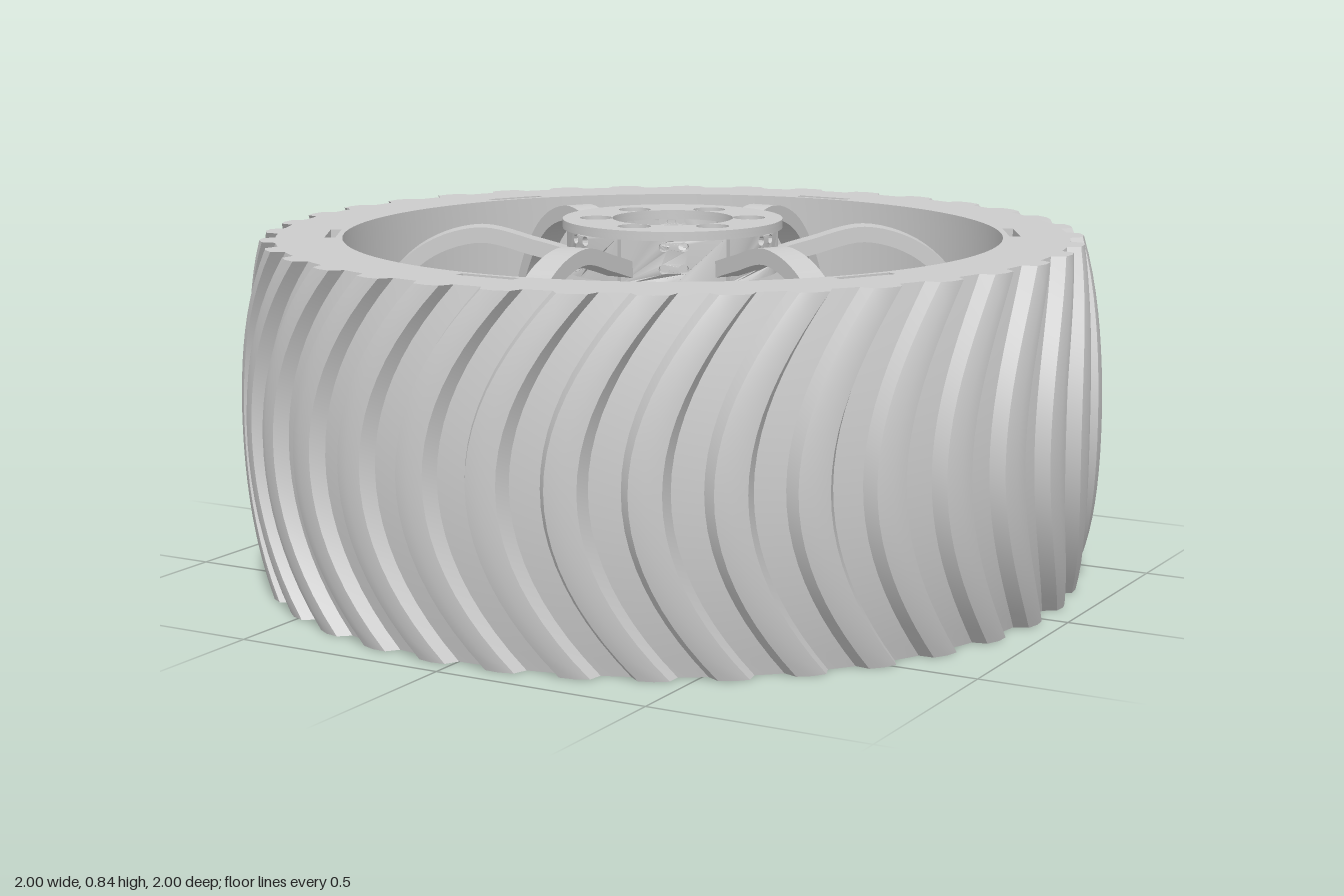
import * as THREE from 'three';
import { toCreasedNormals } from 'three/addons/utils/BufferGeometryUtils.js';

const TAU = Math.PI * 2;
const material = new THREE.MeshStandardMaterial({ color: 0xcccccc });

function addMesh(parent, name, geometry, crease = 0.5) {
  const mesh = new THREE.Mesh(toCreasedNormals(geometry, crease), material);
  mesh.name = name;
  parent.add(mesh);
  return mesh;
}

function circlePath(x, y, r, n = 16) {
  const pts = [];
  for (let i = 0; i < n; i++) pts.push(new THREE.Vector2(x + r * Math.cos(i / n * TAU), y + r * Math.sin(i / n * TAU)));
  return new THREE.Path(pts);
}

function extrude(shape, depth, steps = 1) {
  return new THREE.ExtrudeGeometry(shape, { depth, steps, bevelEnabled: false, curveSegments: 24 });
}

// Curved plate around the y axis, centred on +z; holes are [angle, y, radius]
function bentPlate(rIn, rOut, half, y0, y1, holes = []) {
  const n = 16, pts = [];
  for (let i = 0; i <= n; i++) pts.push(new THREE.Vector2((-1 + 2 * i / n) * half * rIn, y0));
  for (let i = n; i >= 0; i--) pts.push(new THREE.Vector2((-1 + 2 * i / n) * half * rIn, y1));
  const shape = new THREE.Shape(pts);
  for (const [a, y, r] of holes) shape.holes.push(circlePath(a * rIn, y, r, 12));
  const geo = extrude(shape, rOut - rIn);
  const p = geo.attributes.position;
  for (let i = 0; i < p.count; i++) {
    const a = p.getX(i) / rIn, r = rIn + p.getZ(i);
    p.setXYZ(i, r * Math.sin(a), p.getY(i), r * Math.cos(a));
  }
  return geo;
}

// Tyre: slotted ring whose lugged outer edge bulges and sweeps back at mid height
function tyreGeometry() {
  const lugs = 36, height = 0.8, pts = [];
  const pitch = [[0, 0.915], [0.2, 0.915], [0.4, 0.915], [0.5, 0.945], [0.7, 0.95], [0.9, 0.945]];
  for (let i = 0; i < lugs; i++) {
    for (const [f, r] of pitch) {
      const a = (i + f) / lugs * TAU;
      pts.push(new THREE.Vector2(r * Math.cos(a), r * Math.sin(a)));
    }
  }
  const shape = new THREE.Shape(pts);
  shape.holes.push(circlePath(0, 0, 0.762, 120));
  for (let k = 0; k < 6; k++) {
    const a = Math.PI / 2 + k * TAU / 6;
    const slot = [[0.775, -0.07], [0.8, -0.07], [0.8, 0.07], [0.775, 0.07]].map(([r, t]) =>
      new THREE.Vector2(r * Math.cos(a) - t * Math.sin(a), r * Math.sin(a) + t * Math.cos(a)));
    shape.holes.push(new THREE.Path(slot));
  }
  const geo = extrude(shape, height, 20);
  const p = geo.attributes.position;
  for (let i = 0; i < p.count; i++) {
    const x = p.getX(i), y = p.getY(i), r = Math.hypot(x, y);
    if (r < 0.87) continue;
    const t = p.getZ(i) / height * 2 - 1, bulge = 1 - t * t;
    const a = Math.atan2(y, x) - 0.19 * bulge, r2 = r + 0.05 * bulge;
    p.setXY(i, r2 * Math.cos(a), r2 * Math.sin(a));
  }
  return geo.rotateX(-Math.PI / 2);
}

// Arched strip from hub to rim band, radial direction along +z
function spokeGeometry() {
  const width = 0.064, half = 0.018;
  const curve = new THREE.SplineCurve([[0.235, 0.745], [0.32, 0.77], [0.45, 0.8], [0.58, 0.755],
    [0.68, 0.64], [0.73, 0.5], [0.738, 0.37]].map(([r, y]) => new THREE.Vector2(r, y)));
  const upper = [], lower = [];
  for (let i = 0; i <= 40; i++) {
    const c = curve.getPoint(i / 40), t = curve.getTangent(i / 40);
    upper.push(new THREE.Vector2(c.x - t.y * half, c.y + t.x * half));
    lower.unshift(new THREE.Vector2(c.x + t.y * half, c.y - t.x * half));
  }
  return extrude(new THREE.Shape([...upper, ...lower]), width).translate(0, 0, -width / 2).rotateY(-Math.PI / 2);
}

// Half-round clip joining two rim band segments
function loopGeometry(height) {
  const shape = new THREE.Shape();
  shape.absarc(0, 0, 0.052, 0, Math.PI, false);
  shape.absarc(0, 0, 0.038, Math.PI, 0, true);
  return extrude(shape, height).rotateX(-Math.PI / 2).translate(0, 0, 0.757);
}

// Round hub plate with a bore and six bolt holes
function hubPlate(boltRadius, y0, y1) {
  const shape = new THREE.Shape(circlePath(0, 0, 0.255, 72).getPoints());
  shape.holes.push(circlePath(0, 0, 0.14, 48));
  for (let k = 0; k < 6; k++) {
    const a = Math.PI / 2 + k * TAU / 6;
    shape.holes.push(circlePath(0.177 * Math.cos(a), 0.177 * Math.sin(a), boltRadius, 20));
  }
  return extrude(shape, y1 - y0).rotateX(-Math.PI / 2).translate(0, y0, 0);
}

export function createModel() {
  const wheel = new THREE.Group();
  wheel.name = 'wheel';
  addMesh(wheel, 'tyre', tyreGeometry());

  const hub = new THREE.Group();
  hub.name = 'hub';
  wheel.add(hub);
  addMesh(hub, 'hubTopPlate', hubPlate(0.038, 0.827, 0.836));
  addMesh(hub, 'hubLowerPlate', hubPlate(0.02, 0.815, 0.827));

  // Band and flange hole positions
  const bandY = [0.36, 0.44];
  const flangeHoles = [];
  for (const s of [-1, 1]) for (const a of [0.075, 0.125, 0.175]) flangeHoles.push([s * a, 0.4, 0.013]);
  const hubHoles = [];
  for (const a of [-0.09, 0.09]) for (const y of [0.75, 0.8]) hubHoles.push([a, y, 0.011]);

  const spoke = spokeGeometry();
  const band = bentPlate(0.746, 0.763, TAU / 12 - 0.055, ...bandY);
  const flange = bentPlate(0.73, 0.747, 0.21, ...bandY, flangeHoles);
  const loop = loopGeometry(bandY[1] - bandY[0]).translate(0, bandY[0], 0);
  const hubPad = bentPlate(0.222, 0.245, TAU / 12 - 0.02, 0.715, 0.818, hubHoles);

  for (let k = 0; k < 6; k++) {
    const sector = new THREE.Group();
    sector.name = 'spokeSector';
    sector.rotation.y = k * TAU / 6;
    wheel.add(sector);
    addMesh(sector, 'spoke', spoke);
    addMesh(sector, 'rimBand', band);
    addMesh(sector, 'rimFlange', flange);
    addMesh(sector, 'bandLoop', loop).rotation.y = TAU / 12;
    addMesh(sector, 'hubPad', hubPad).rotation.y = TAU / 12;
  }
  return wheel;
}
